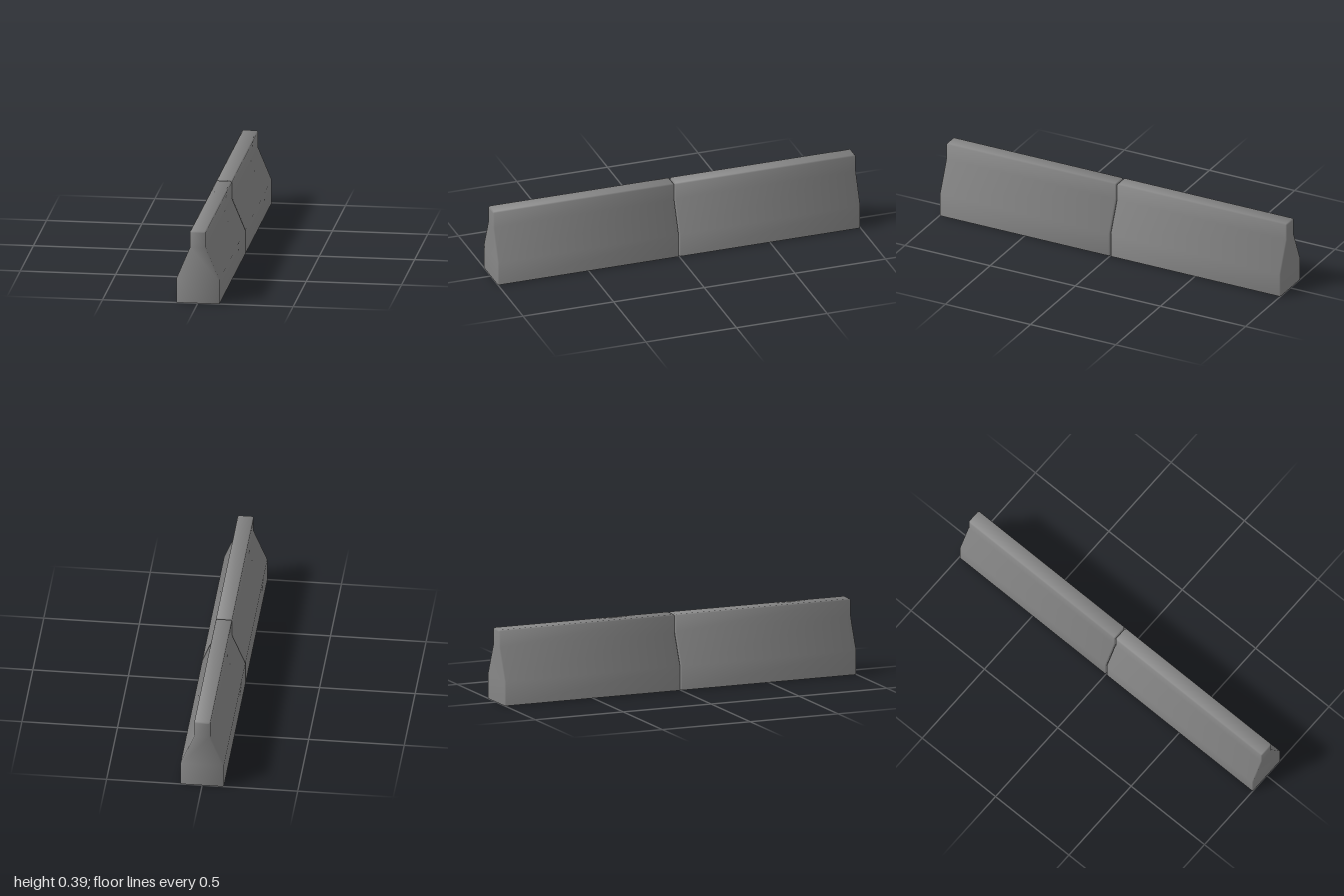
import * as THREE from 'three';

const BEVEL = 0.006;

// Right half of the cross-section, bottom to top: [x, y]
const HALF = [[0.113, 0], [0.113, 0.128], [0.042, 0.298], [0.042, 0.383], [0.036, 0.389]];
const HALF_INSET = HALF.map(([x, y], i) =>
  i === 4 ? [x - BEVEL / 2, y - BEVEL] : i === 3 ? [x - BEVEL, y - BEVEL / 2] : [x - BEVEL, y]);

const mirrored = (half) => [...half, ...half.map(([x, y]) => [-x, y]).reverse()];

// Smooth normals weighted by corner angle, so walls and ends blend softly across the bevels
function angleWeightedNormals(positions, index) {
  const points = [], normals = [];
  for (let i = 0; i < positions.length; i += 3) {
    points.push(new THREE.Vector3().fromArray(positions, i));
    normals.push(new THREE.Vector3());
  }
  for (let t = 0; t < index.length; t += 3) {
    for (let k = 0; k < 3; k++) {
      const corner = index[t + k];
      const toNext = points[index[t + (k + 1) % 3]].clone().sub(points[corner]);
      const toPrevious = points[index[t + (k + 2) % 3]].clone().sub(points[corner]);
      const angle = toNext.angleTo(toPrevious);
      normals[corner].addScaledVector(toNext.cross(toPrevious).normalize(), angle);
    }
  }
  return normals.flatMap((normal) => normal.normalize().toArray());
}

// Bevelled shell with closed ends and an open underside
function barrierGeometry(z0, z1) {
  const full = mirrored(HALF), inset = mirrored(HALF_INSET);
  const rings = [[inset, z0], [full, z0 + BEVEL], [full, z1 - BEVEL], [inset, z1]];
  const n = full.length, positions = [], index = [];
  for (const [profile, z] of rings) for (const [x, y] of profile) positions.push(x, y, z);

  // Long walls, top and end bevels
  for (let r = 0; r < rings.length - 1; r++) {
    for (let i = 0; i < n - 1; i++) {
      const a = r * n + i, b = a + 1, c = a + n, d = c + 1;
      index.push(a, b, c, b, d, c);
    }
  }
  // End walls, filled in strips from bottom to top
  const last = (rings.length - 1) * n;
  for (let i = 0; i < n / 2 - 1; i++) {
    const a = i, b = i + 1, c = n - 2 - i, d = n - 1 - i;
    index.push(last + a, last + b, last + c, last + a, last + c, last + d);
    index.push(a, c, b, a, d, c);
  }
  const geometry = new THREE.BufferGeometry();
  geometry.setAttribute('position', new THREE.Float32BufferAttribute(positions, 3));
  geometry.setAttribute('normal', new THREE.Float32BufferAttribute(angleWeightedNormals(positions, index), 3));
  geometry.setIndex(index);
  return geometry;
}

export function createModel() {
  const group = new THREE.Group();
  group.name = 'roadBarrier';
  const material = new THREE.MeshStandardMaterial({ color: 0x868686, side: THREE.DoubleSide });

  // Two segments end to end with a hairline joint
  for (const [name, z0, z1] of [['frontSegment', 0.002, 1], ['backSegment', -1, -0.002]]) {
    const mesh = new THREE.Mesh(barrierGeometry(z0, z1), material);
    mesh.name = name;
    group.add(mesh);
  }
  return group;
}
